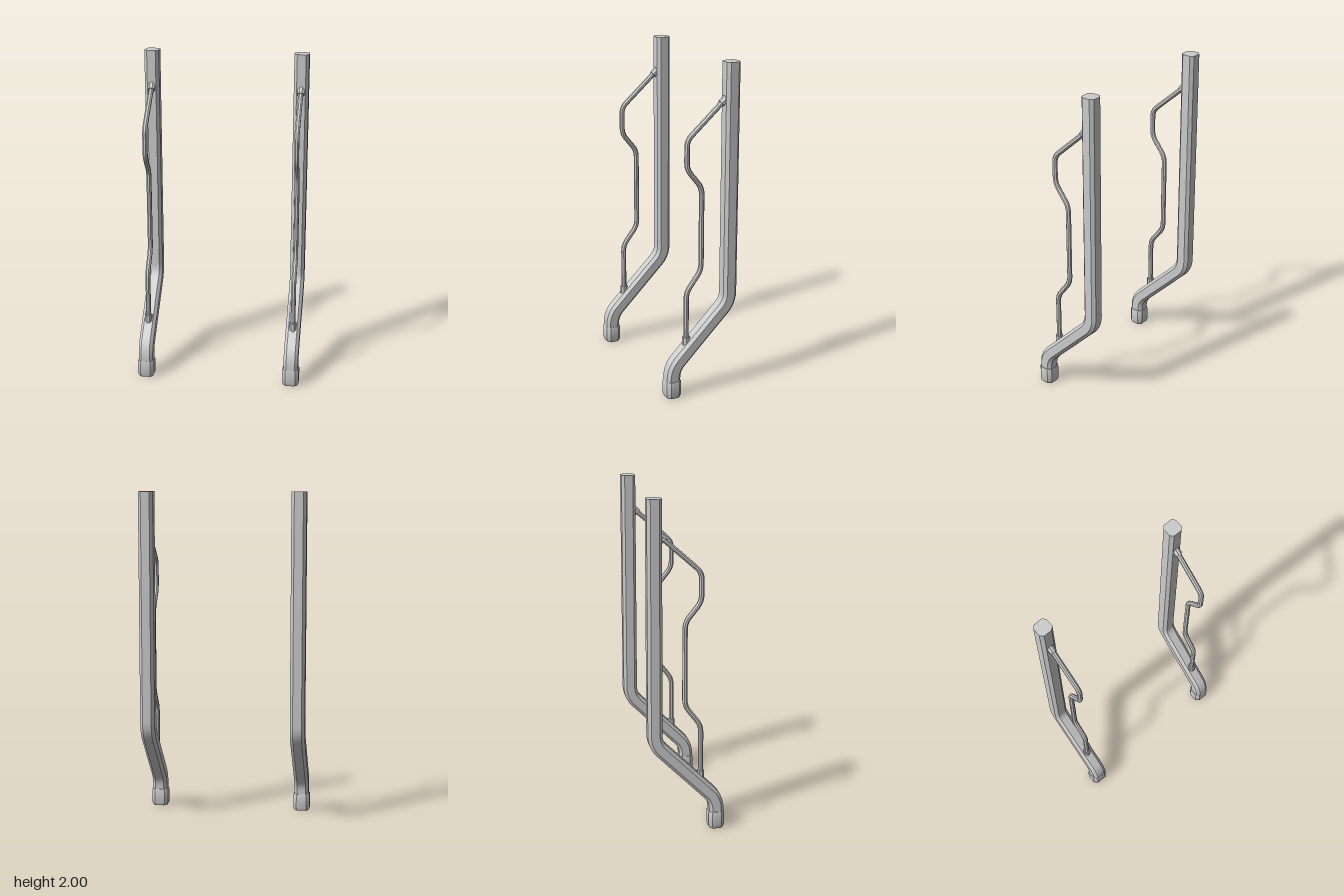
import * as THREE from 'three';
import { toCreasedNormals } from 'three/addons/utils/BufferGeometryUtils.js';

const material = new THREE.MeshStandardMaterial({ color: 0xcccccc });

// Path points are [z, y]; every inner corner is rounded over the given length.
function roundedPath(points, radius, steps = 5) {
  const p = points.map(([z, y]) => new THREE.Vector2(z, y));
  const path = [p[0]];
  for (let i = 1; i < p.length - 1; i++) {
    const toward = (q) => p[i].clone().add(q.clone().sub(p[i]).setLength(radius));
    const bend = new THREE.QuadraticBezierCurve(toward(p[i - 1]), p[i], toward(p[i + 1]));
    path.push(...bend.getPoints(steps));
  }
  path.push(p[p.length - 1]);
  return path;
}

// Chamfered rectangle, counter-clockwise.
function chamfered(w, d, c) {
  return [[w, -d + c], [w, d - c], [w - c, d], [-w + c, d],
    [-w, d - c], [-w, -d + c], [-w + c, -d], [w - c, -d]];
}

// Regular octagon with flat sides facing front and side.
const octagon = (r) => chamfered(r, r, r * (2 - Math.SQRT2));

// Sweeps a section along a path in the yz plane and closes both ends.
function sweep(section, path, scales = []) {
  const n = section.length, last = path.length - 1;
  const positions = [], index = [];
  path.forEach((p, i) => {
    const t = new THREE.Vector2();
    if (i > 0) t.add(p.clone().sub(path[i - 1]).normalize());
    if (i < last) t.add(path[i + 1].clone().sub(p).normalize());
    t.normalize();
    const s = scales[i] ?? 1;
    for (const [u, v] of section) {
      positions.push(u * s, p.y + t.x * v * s, p.x - t.y * v * s);
    }
  });
  for (let i = 0; i < last; i++) {
    for (let j = 0; j < n; j++) {
      const a = i * n + j, b = i * n + (j + 1) % n;
      index.push(a, b, b + n, a, b + n, a + n);
    }
  }
  for (let j = 1; j < n - 1; j++) {
    index.push(0, j + 1, j);
    index.push(last * n, last * n + j, last * n + j + 1);
  }
  const geometry = new THREE.BufferGeometry();
  geometry.setAttribute('position', new THREE.Float32BufferAttribute(positions, 3));
  geometry.setIndex(index);
  return toCreasedNormals(geometry, 0.5);
}

function part(name, geometry) {
  const mesh = new THREE.Mesh(geometry, material);
  mesh.name = name;
  return mesh;
}

const line = (...points) => points.map(([z, y]) => new THREE.Vector2(z, y));

function createPost(name) {
  const post = new THREE.Group();
  post.name = name;

  // Main tube: foot, sloping offset, long upright
  const tubePath = roundedPath([[0.184, 0.02], [0.184, 0.183], [-0.187, 0.554], [-0.187, 2]], 0.06);
  post.add(part('postTube', sweep(chamfered(0.0445, 0.0435, 0.018), tubePath)));

  // Foot sleeve with tapered ends
  const sleevePath = line([0.183, 0], [0.183, 0.018], [0.183, 0.098], [0.183, 0.106]);
  post.add(part('footSleeve', sweep(chamfered(0.051, 0.047, 0.02), sleevePath, [0.86, 1, 1, 0.95])));

  // Thin grip rail, stepping in and out in front of the post
  const railPath = roundedPath([[0.09, 0.32], [0.09, 0.65], [-0.006, 0.775], [-0.006, 1.28],
    [0.09, 1.4], [0.09, 1.57], [-0.15, 1.784]], 0.04);
  post.add(part('gripRail', sweep(octagon(0.0145), railPath)));

  // Collars where the rail meets the post
  post.add(part('lowerCollar', sweep(octagon(0.021), line([0.09, 0.31], [0.09, 0.368]))));
  post.add(part('upperCollar', sweep(octagon(0.021), line([-0.125, 1.762], [-0.165, 1.797]))));
  return post;
}

export function createModel() {
  const model = new THREE.Group();
  model.name = 'handrailPosts';
  for (const [name, side] of [['leftPost', 1], ['rightPost', -1]]) {
    const post = createPost(name);
    post.position.x = side * 0.455;
    model.add(post);
  }
  return model;
}
